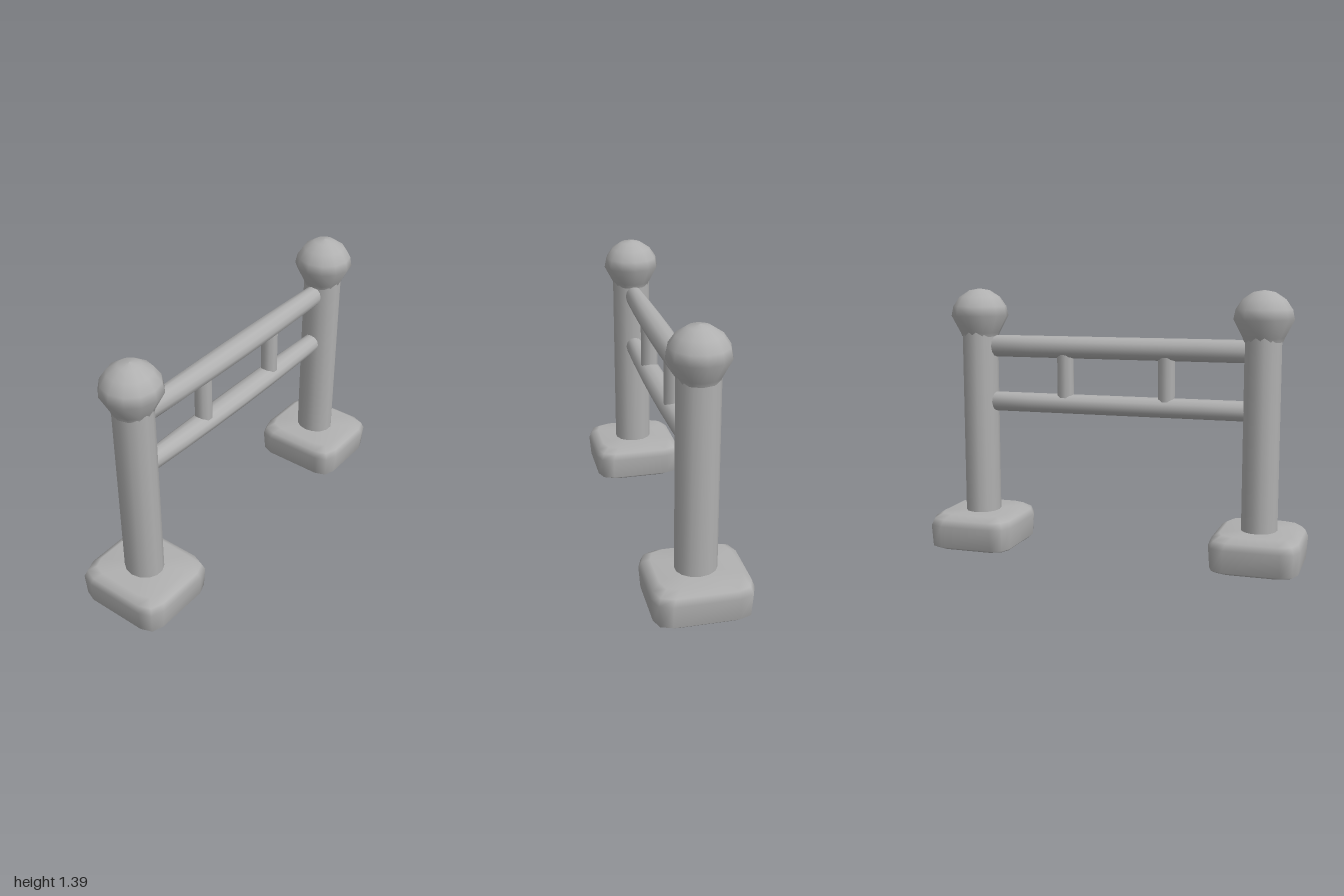
import * as THREE from 'three';

const stone = new THREE.MeshStandardMaterial({ color: 0xb0b0b0 });
stone.name = 'grey stone';

function part(name, geometry, x, y, z) {
  const mesh = new THREE.Mesh(geometry, stone);
  mesh.name = name;
  mesh.position.set(x, y, z);
  return mesh;
}

// Soft block: rounded-square rings stacked upward and closed at both ends
function footGeometry() {
  // [y, half width, half depth, corner cut]
  const rings = [
    [0, 0.215, 0.205, 0.08], [0.015, 0.24, 0.222, 0.08], [0.13, 0.25, 0.23, 0.09],
    [0.165, 0.237, 0.217, 0.09], [0.19, 0.2, 0.18, 0.08],
  ];
  const n = 12, positions = [], index = [];
  for (const [y, w, d, c] of rings) {
    for (let q = 0; q < 4; q++) {
      const sx = q === 0 || q === 3 ? 1 : -1, sz = q < 2 ? 1 : -1;
      const corner = [[w, d - c], [w - c * 0.27, d - c * 0.27], [w - c, d]];
      if (q % 2) corner.reverse();
      for (const [x, z] of corner) positions.push(sx * x, y, sz * z);
    }
  }
  for (let r = 0; r < rings.length - 1; r++) {
    for (let i = 0; i < n; i++) {
      const a = r * n + i, b = r * n + (i + 1) % n;
      index.push(a, a + n, b, b, a + n, b + n);
    }
  }
  const bottom = rings.length * n, top = bottom + 1, last = bottom - n;
  positions.push(0, 0, 0, 0, 0.185, 0);
  for (let i = 0; i < n; i++) {
    const j = (i + 1) % n;
    index.push(bottom, i, j, top, last + j, last + i);
  }
  const g = new THREE.BufferGeometry();
  g.setAttribute('position', new THREE.Float32BufferAttribute(positions, 3));
  g.setIndex(index);
  g.computeVertexNormals();
  return g;
}

// Horizontal bar, a little wider at the middle of its span
function railGeometry(radius) {
  const g = new THREE.CylinderGeometry(radius, radius, 1.4, 12, 6, true);
  g.rotateX(Math.PI / 2);
  const p = g.attributes.position;
  for (let i = 0; i < p.count; i++) {
    const t = p.getZ(i) / 0.7;
    p.setX(i, p.getX(i) / radius * (0.064 - 0.017 * t * t));
  }
  g.computeVertexNormals();
  return g;
}

function createPost(z, name) {
  const post = new THREE.Group();
  post.name = name;
  post.position.z = z;
  const knob = [[0.098, 1.14], [0.105, 1.16], [0.152, 1.25], [0.142, 1.3],
    [0.108, 1.35], [0.055, 1.385], [0, 1.395]].map(([x, y]) => new THREE.Vector2(x, y));
  const shaft = part('shaft', new THREE.CylinderGeometry(0.1, 0.1, 1.01, 14), 0, 0.665, 0);
  shaft.scale.set(1.04, 1, 0.93);
  post.add(
    part('foot', footGeometry(), 0, 0, 0),
    shaft,
    part('knob', new THREE.LatheGeometry(knob, 12), 0, 0, 0),
  );
  return post;
}

export function createModel() {
  const model = new THREE.Group();
  model.name = 'railing';
  model.add(createPost(0.768, 'frontPost'), createPost(-0.763, 'backPost'));
  model.add(part('upperRail', railGeometry(0.058), 0, 1.09, 0));
  model.add(part('lowerRail', railGeometry(0.052), 0, 0.79, 0));
  // Short uprights between the rails
  for (const z of [0.275, -0.275]) {
    model.add(part('spindle', new THREE.CylinderGeometry(0.045, 0.045, 0.26, 10), 0, 0.935, z));
  }
  return model;
}
